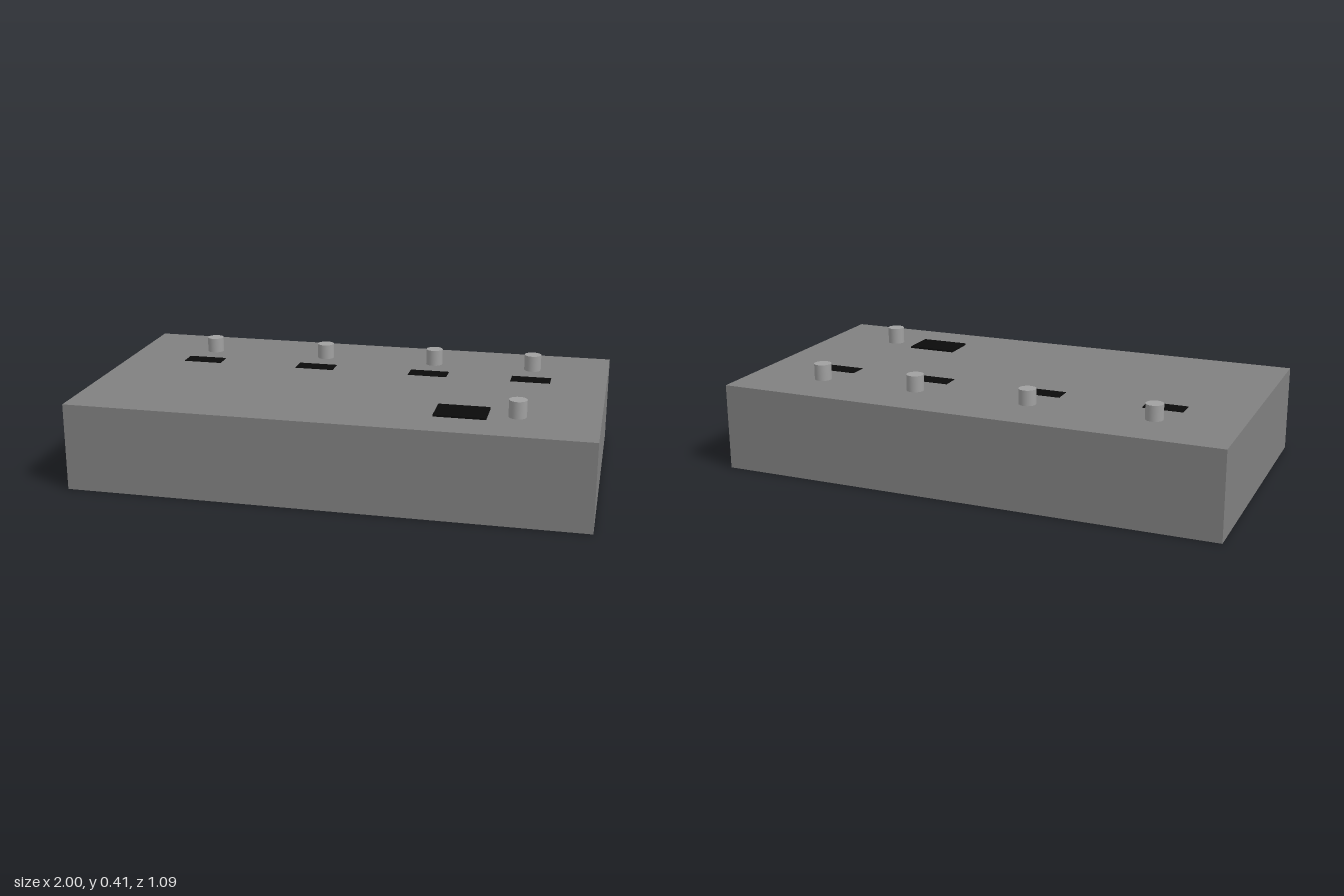
import * as THREE from 'three';

export function createModel() {
  const model = new THREE.Group();
  const mat = (name, color) => {
    const m = new THREE.MeshStandardMaterial({ color });
    m.name = name;
    return m;
  };
  const bodyGrey = mat('body grey', 0x808080);
  const knobGrey = mat('knob grey', 0xa0a0a0);
  const black = mat('black', 0x0a0a0a);
  const top = 0.343;

  const add = (name, geometry, material, x, y, z) => {
    const mesh = new THREE.Mesh(geometry, material);
    mesh.name = name;
    mesh.position.set(x, y, z);
    model.add(mesh);
  };
  // Box standing on the given base height
  const plate = (name, w, h, d, material, x, base, z) =>
    add(name, new THREE.BoxGeometry(w, h, d), material, x, base + h / 2, z);
  // Upright cylinder standing on the case
  const knob = (name, x, z, h) =>
    add(name, new THREE.CylinderGeometry(0.034, 0.034, h, 32), knobGrey, x, top + h / 2, z);

  // Case
  plate('case', 2, top, 1.094, bodyGrey, 0, 0, 0);

  // Rear row: knob x, label x, knob height
  const row = [
    [-0.678, -0.675, 0.06],
    [-0.185, -0.19, 0.06],
    [0.283, 0.283, 0.064],
    [0.693, 0.7, 0.064],
  ];
  row.forEach(([kx, lx, h], i) => {
    knob(`rearKnob${i + 1}`, kx, -0.32, h);
    plate(`rearLabel${i + 1}`, 0.158, 0.002, 0.074, black, lx, top, -0.168);
  });

  // Front knob and display panel
  knob('frontKnob', 0.696, 0.316, 0.066);
  plate('displayPanel', 0.198, 0.007, 0.138, black, 0.489, top, 0.314);

  return model;
}
